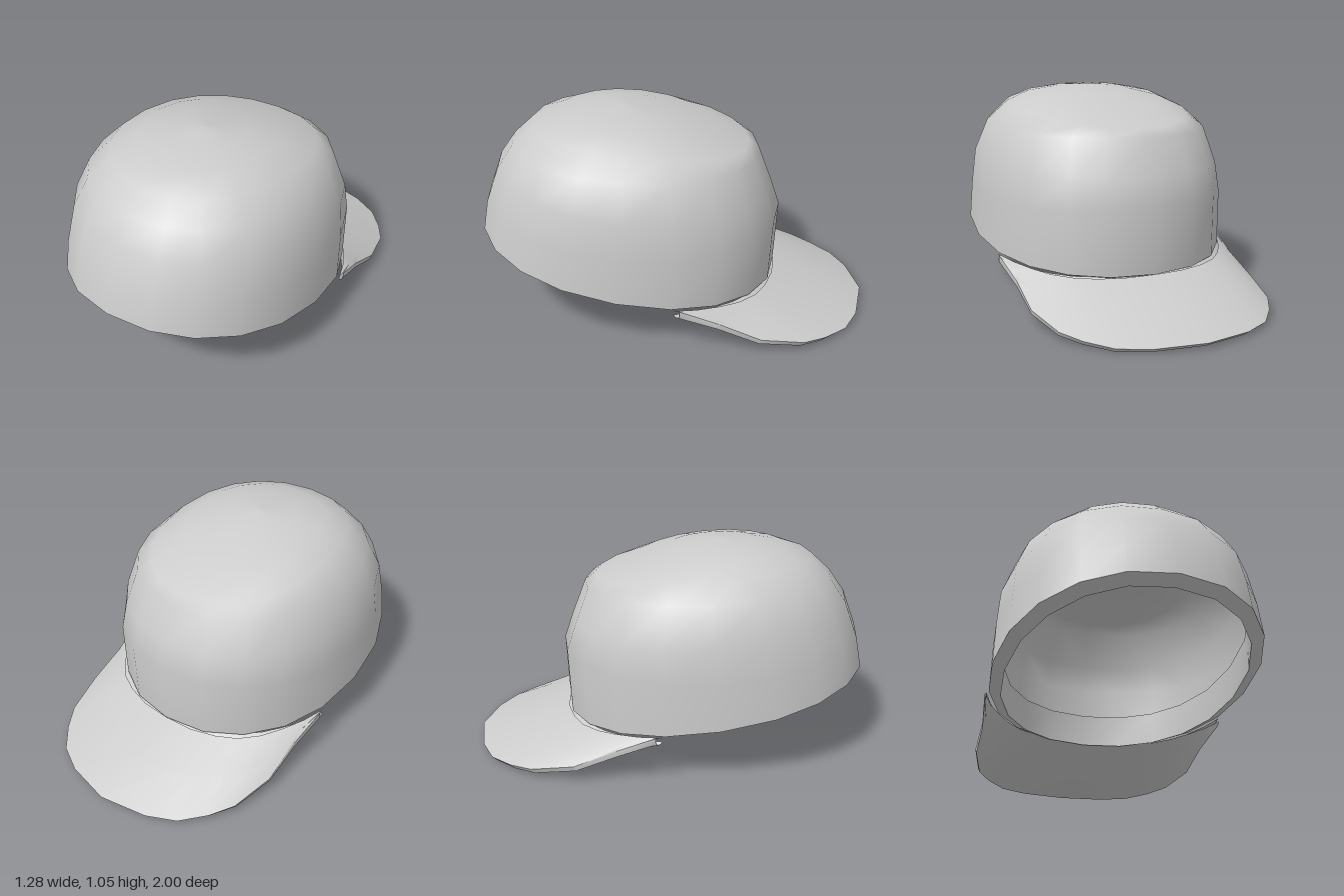
import * as THREE from 'three';
import { toCreasedNormals } from 'three/addons/utils/BufferGeometryUtils.js';

const material = new THREE.MeshStandardMaterial({ color: 0xcccccc, side: THREE.DoubleSide });

// Skin a list of rows of points; wrap closes every row into a ring.
function loft(rows, wrap) {
  const n = rows[0].length;
  const index = [];
  for (let i = 0; i < rows.length - 1; i++) {
    for (let j = 0; j < (wrap ? n : n - 1); j++) {
      const a = i * n + j, b = i * n + (j + 1) % n;
      index.push(a, b, b + n, a, b + n, a + n);
    }
  }
  const geometry = new THREE.BufferGeometry().setFromPoints(rows.flat());
  geometry.setIndex(index);
  geometry.computeVertexNormals();
  return geometry;
}

// Tilted oval ring from its rear (z, y), its peak-side (z, y), half width and side sag.
function ring([zRear, yRear, zPeak, yPeak, width, sag]) {
  const points = [];
  const square = (v) => Math.sign(v) * Math.abs(v) ** 0.92;
  for (let j = 0; j < 20; j++) {
    const t = (j / 20) * Math.PI * 2;
    const c = square(Math.cos(t)), k = (1 + c) / 2;
    points.push(new THREE.Vector3(
      width * square(Math.sin(t)),
      yPeak + (yRear - yPeak) * k - sag * (1 - c * c),
      zPeak + (zRear - zPeak) * k));
  }
  return points;
}

// Mirror a half curve given from the left side to the middle.
function mirrored(half) {
  const right = half.map(([x, y, z]) => new THREE.Vector3(-x, y, z));
  const left = half.slice(0, -1).reverse().map(([x, y, z]) => new THREE.Vector3(x, y, z));
  return [...right, ...left];
}

export function createModel() {
  const cap = new THREE.Group();
  cap.name = 'cap';
  const add = (name, geometry) => {
    const mesh = new THREE.Mesh(geometry, material);
    mesh.name = name;
    cap.add(mesh);
  };

  // Crown, from the rim up to the flattened top
  const rim = [1, 0.45, -0.52, 0.2, 0.64, 0.035];
  const lip = [0.94, 0.415, -0.47, 0.18, 0.58, 0.035];
  add('crown', loft([
    rim,
    [0.97, 0.6, -0.535, 0.53, 0.63, 0.05],
    [0.9, 0.78, -0.49, 0.66, 0.615, 0.03],
    [0.82, 0.89, -0.42, 0.84, 0.55, 0],
    [0.72, 0.98, -0.37, 0.875, 0.45, -0.03],
    [0.6, 1.02, -0.2, 0.94, 0.33, -0.035],
    [0.45, 1.05, 0, 1.015, 0.18, -0.01],
    [0.25, 1.057, 0.25, 1.057, 0, 0],
  ].map(ring), true));

  // Turned-in rim and the band inside it
  add('innerBand', toCreasedNormals(loft([
    [0.93, 0.58, -0.47, 0.35, 0.575, 0.035], lip, rim,
  ].map(ring), true), 0.9));

  // Peak: root curve on the crown, outer edge curve, and a thin underside
  const root = mirrored([
    [0.62, 0.25, -0.03], [0.58, 0.235, -0.14], [0.52, 0.22, -0.25], [0.46, 0.21, -0.34],
    [0.38, 0.205, -0.42], [0.28, 0.2, -0.47], [0.15, 0.2, -0.51], [0, 0.2, -0.52],
  ]);
  const edge = mirrored([
    [0.625, 0.25, -0.06], [0.6, 0.17, -0.25], [0.6, 0.09, -0.45], [0.55, 0.05, -0.66],
    [0.48, 0.035, -0.77], [0.38, 0.025, -0.88], [0.24, 0.025, -0.95], [0, 0.03, -1],
  ]);
  const between = (t, drop) => root.map((p, j) => {
    const q = p.clone().lerp(edge[j], t);
    q.y -= drop;
    return q;
  });
  const peakRows = [
    between(0, 0), between(0.5, 0), between(1, 0),
    between(0.94, 0.032), between(0.5, 0.035), between(-0.1, 0.02),
  ];
  for (const row of peakRows) for (const p of row) p.y = Math.max(p.y, 0);
  add('peak', toCreasedNormals(loft(peakRows, false), 1));

  return cap;
}
